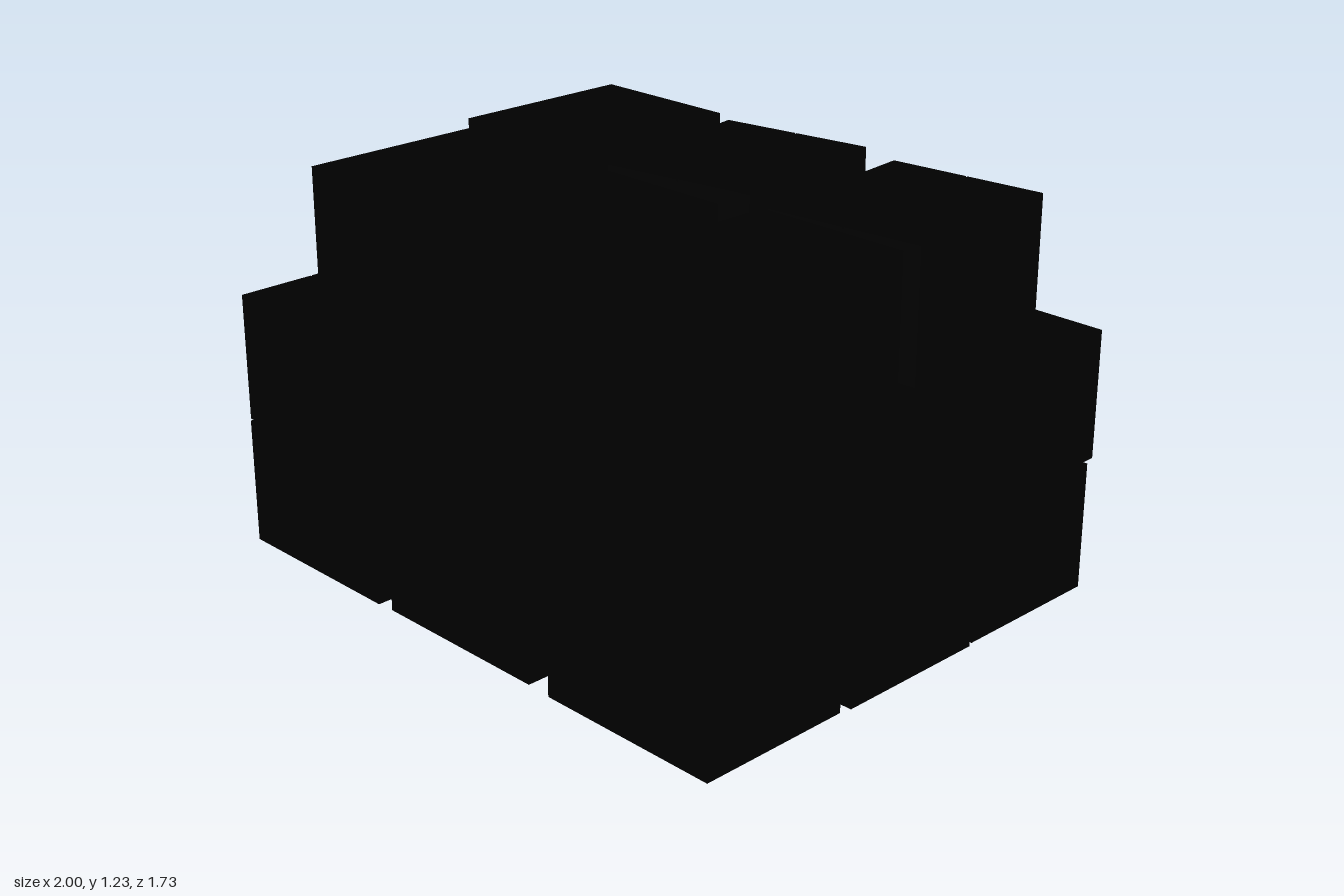
import * as THREE from 'three';

const W = 0.51, L = 0.615, H = 0.405; // short side, long side, height of one carton
const DEG = Math.PI / 180;

// Closed carton: block with a fine flap seam along the top, long side on z
function cartonGeometry() {
  const w = W / 2, g = 0.003, d = 0.006;
  const section = new THREE.Shape([
    [-w, 0], [w, 0], [w, H], [g, H], [g, H - d], [-g, H - d], [-g, H], [-w, H],
  ].map(([x, y]) => new THREE.Vector2(x, y)));
  return new THREE.ExtrudeGeometry(section, { depth: L, bevelEnabled: false }).translate(0, 0, -L / 2);
}

// Each carton: [x, z, turn in degrees]; 90 lays the long side across x
const layers = [
  { name: 'bottomLayer', y: 0, cartons: [
    [-0.692, -0.535, 90], [0.005, -0.557, 0], [0.682, -0.525, 90],
    [-0.685, 0.01, 90], [0, 0.005, 90], [0.69, 0.005, 90],
    [-0.692, 0.55, 90], [-0.02, 0.545, 90], [0.682, 0.55, 90],
  ] },
  { name: 'middleLayer', y: 0.412, cartons: [
    [-0.69, -0.597, 90], [-0.01, -0.588, 94], [0.677, -0.555, 90],
    [-0.675, 0, 0], [0, -0.02, 92], [0.685, 0.01, 0],
    [-0.69, 0.55, 90], [-0.027, 0.553, -1], [0.675, 0.573, 90],
  ] },
  { name: 'topLayer', y: 0.82, cartons: [
    [-0.655, -0.33, 0], [-0.025, -0.335, 9], [0.617, -0.35, 6],
    [-0.565, 0.34, 0], [0.015, 0.36, 0], [0.64, 0.302, 0],
  ] },
];

export function createModel() {
  const model = new THREE.Group();
  model.name = 'cartonStack';
  const geometry = cartonGeometry();
  const material = new THREE.MeshStandardMaterial({ color: 0x000000 });
  for (const { name, y, cartons } of layers) {
    const layer = new THREE.Group();
    layer.name = name;
    layer.position.y = y;
    cartons.forEach(([x, z, turn], i) => {
      const carton = new THREE.Mesh(geometry, material);
      carton.name = `carton${i + 1}`;
      carton.position.set(x, 0, z);
      carton.rotation.y = turn * DEG;
      layer.add(carton);
    });
    model.add(layer);
  }
  return model;
}
